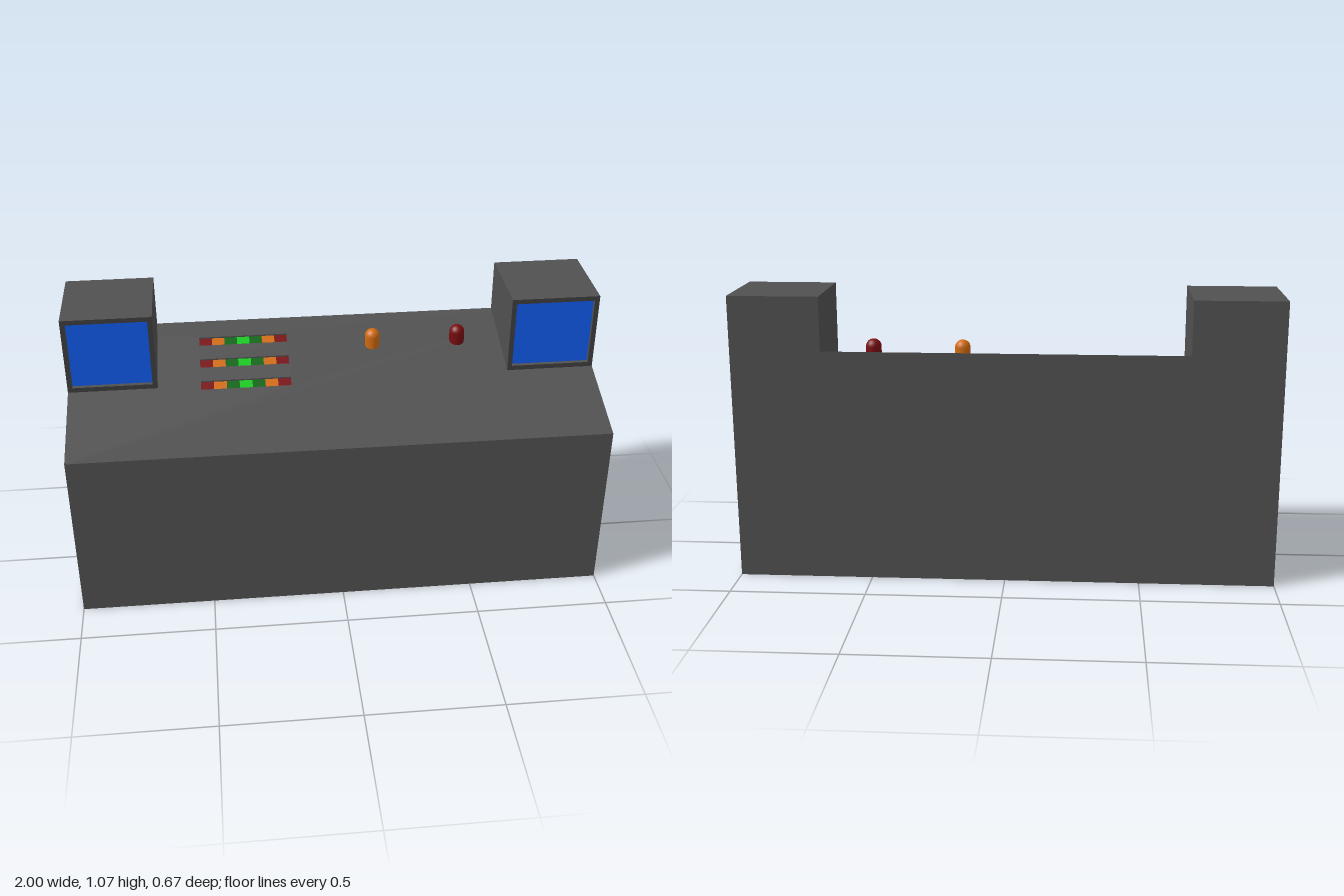
import * as THREE from 'three';

const mat = (color) => new THREE.MeshStandardMaterial({ color });
const DEPTH = 0.333;   // half depth of the console
const RECESS = 0.01;   // depth of the gauge slots
const slopeY = (z) => 0.768 - 0.3 * z;

function add(parent, name, geometry, material) {
  const mesh = new THREE.Mesh(geometry, material);
  mesh.name = name;
  parent.add(mesh);
  return mesh;
}

// Rectangle outline, also usable as a hole
function rect(x0, y0, x1, y1, Type = THREE.Shape) {
  return new Type([[x0, y0], [x1, y0], [x1, y1], [x0, y1]].map((p) => new THREE.Vector2(...p)));
}

// Side profile given as [z, y] points, extruded across x
function prism(points, width) {
  const shape = new THREE.Shape(points.map(([z, y]) => new THREE.Vector2(-z, y)));
  return new THREE.ExtrudeGeometry(shape, { depth: width, bevelEnabled: false })
    .translate(0, 0, -width / 2).rotateY(Math.PI / 2);
}

// Lift flat geometry onto the sloping desk top
function layOnSlope(geometry) {
  const p = geometry.attributes.position;
  for (let i = 0; i < p.count; i++) p.setY(i, p.getY(i) + slopeY(p.getZ(i)));
  geometry.computeVertexNormals();
  return geometry;
}

export function createModel() {
  const group = new THREE.Group();
  group.name = 'controlConsole';
  const grey = mat(0x505050), frameGrey = mat(0x3e3e3e), blue = mat(0x105cee);
  const red = mat(0x780c10), orange = mat(0xd06a10), green = mat(0x0a6412), lime = mat(0x12c81c);

  // Cabinet, stopping just below the panel
  add(group, 'cabinet', prism([
    [DEPTH, 0], [-DEPTH, 0],
    [-DEPTH, slopeY(-DEPTH) - RECESS], [DEPTH, slopeY(DEPTH) - RECESS],
  ], 2), grey);

  // Sloping panel with three gauge slots
  const gaugeX = -0.335, gaugeW = 0.34, gaugeH = 0.042, rows = [-0.225, -0.112, -0.002];
  const panel = rect(-1, -DEPTH, 1, DEPTH);
  for (const z of rows) {
    panel.holes.push(rect(gaugeX - gaugeW / 2, -z - gaugeH / 2,
      gaugeX + gaugeW / 2, -z + gaugeH / 2, THREE.Path));
  }
  add(group, 'slopingPanel', layOnSlope(
    new THREE.ExtrudeGeometry(panel, { depth: RECESS, bevelEnabled: false })
      .rotateX(-Math.PI / 2).translate(0, -RECESS, 0)), grey);

  // Coloured segments inside each slot
  const colours = [red, orange, green, lime, green, orange, red];
  const segW = gaugeW / colours.length;
  for (const z of rows) {
    const gauge = new THREE.Group();
    gauge.name = 'gauge';
    colours.forEach((colour, i) => {
      const x = gaugeX + (i - 3) * segW;
      add(gauge, 'gaugeSegment', layOnSlope(
        new THREE.BoxGeometry(segW, 0.006, gaugeH).toNonIndexed().translate(x, 0.002 - RECESS, z)), colour);
    });
    group.add(gauge);
  }

  // Round-topped indicator lamps
  const r = 0.029;
  const profile = [new THREE.Vector2(r, -0.03)];
  for (let i = 0; i <= 8; i++) {
    const a = (i / 8) * Math.PI / 2;
    profile.push(new THREE.Vector2(r * Math.cos(a), 0.037 + r * Math.sin(a)));
  }
  for (const [name, x, colour] of [['impactLamp', 0.165, orange], ['healthLamp', 0.498, red]]) {
    add(group, name, new THREE.LatheGeometry(profile, 24), colour).position.set(x, slopeY(-0.17), -0.17);
  }

  // Monitor housings at both rear corners, each with a sunken screen
  const size = 0.333, top = 1.067, sunk = 0.02, rim = 0.018, base = slopeY(0);
  for (const side of [1, -1]) {
    const monitor = new THREE.Group();
    monitor.name = side > 0 ? 'leftMonitor' : 'rightMonitor';
    monitor.position.x = side * (1 - size / 2);
    add(monitor, 'housing', prism([
      [-sunk, slopeY(-sunk)], [-DEPTH, slopeY(-DEPTH)], [-DEPTH, top], [-sunk, top],
    ], size), grey);
    const frame = rect(-size / 2, base, size / 2, top);
    frame.holes.push(rect(-size / 2 + rim, base + rim, size / 2 - rim, top - rim, THREE.Path));
    add(monitor, 'screenFrame', new THREE.ExtrudeGeometry(frame, { depth: sunk, bevelEnabled: false })
      .translate(0, 0, -sunk), [frameGrey, grey]);
    add(monitor, 'screen', new THREE.BoxGeometry(size - 2 * rim, top - base - 2 * rim, 0.008)
      .translate(0, (top + base) / 2, -sunk), blue);
    group.add(monitor);
  }
  return group;
}
